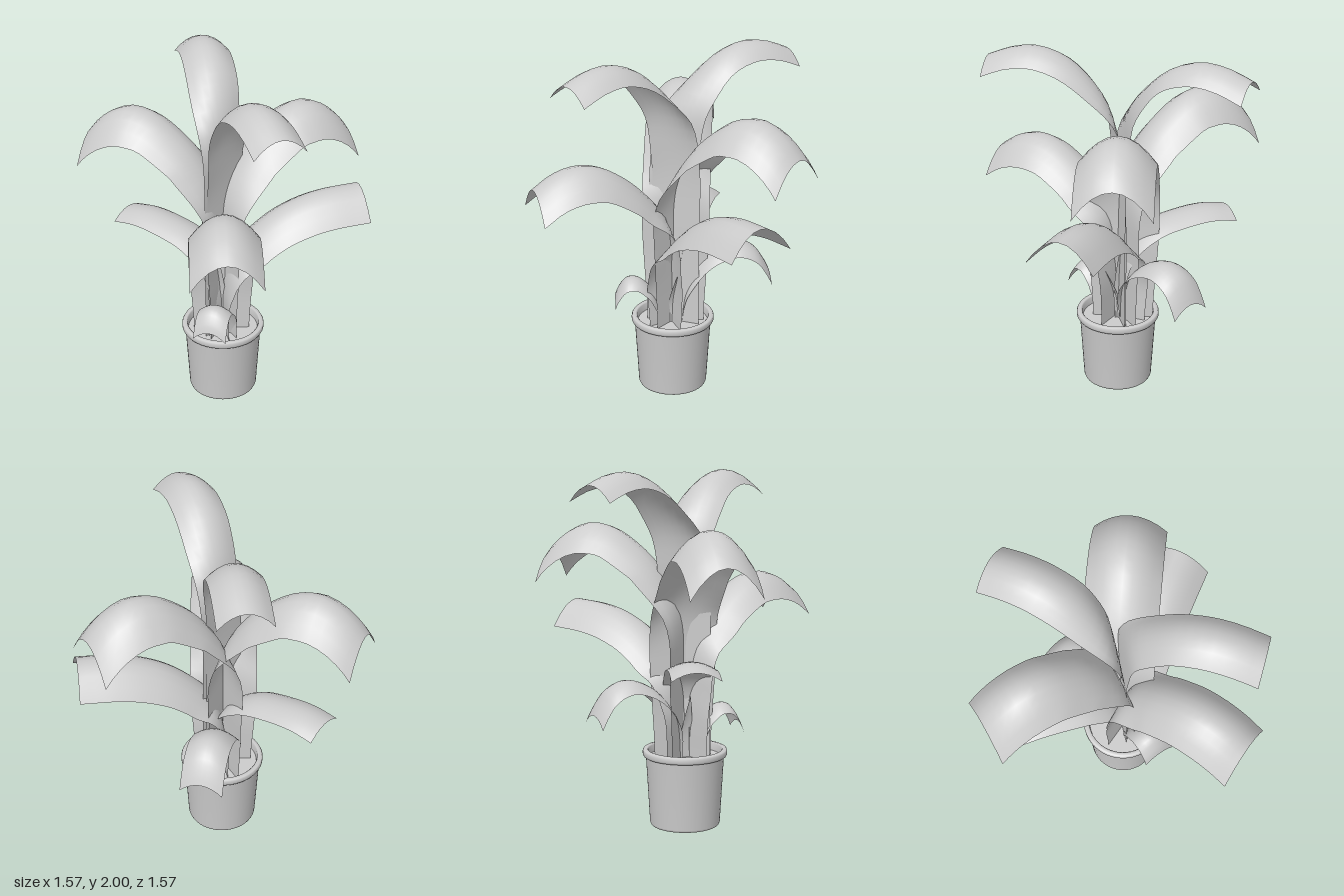
import * as THREE from 'three';

const CX = -0.03, CZ = -0.04; // pot axis
const material = new THREE.MeshStandardMaterial({ color: 0xcccccc, side: THREE.DoubleSide });

function add(group, name, geometry) {
  const mesh = new THREE.Mesh(geometry, material);
  mesh.name = name;
  group.add(mesh);
  return mesh;
}

// Strip swept along a spline path: flat where it stands upright, arched where it leans out.
// path: [distance outward, height]; base / dir: [x, z]; twist: degrees the stalk is turned
function leafGeometry({ base, dir, path, width, arch, foot = 0.85, twist = 0, pointed = false }) {
  const rows = 32, cols = 8;
  const curve = new THREE.CatmullRomCurve3(path.map(([r, y]) => new THREE.Vector3(r, y, 0)));
  const heading = Math.atan2(dir[1], dir[0]);
  const dx = Math.cos(heading), dz = Math.sin(heading);
  const pos = [], idx = [];
  for (let i = 0; i <= rows; i++) {
    const t = i / rows;
    const p = curve.getPointAt(t), tan = curve.getTangentAt(t);
    // the section leans with the rising blade and stays upright where it droops
    const rising = tan.y > 0;
    const nr = rising ? -tan.y : 0, ny = rising ? tan.x : 1;
    const bend = rising ? Math.max(0, tan.x) : 1;
    let k = foot + (1 - foot) * THREE.MathUtils.smoothstep(t, 0, 0.35);
    if (pointed) k *= 1 - t * t;
    const turn = heading + Math.PI / 2
      + THREE.MathUtils.degToRad(twist) * (1 - THREE.MathUtils.smoothstep(t, 0.5, 0.8));
    for (let j = 0; j <= cols; j++) {
      const s = (j / cols) * 2 - 1;
      const drop = arch * s * s * k * bend;
      const r = p.x - nr * drop, w = s * k * width / 2;
      pos.push(base[0] + dx * r + Math.cos(turn) * w, p.y - ny * drop, base[1] + dz * r + Math.sin(turn) * w);
      if (i < rows && j < cols) {
        const a = i * (cols + 1) + j, b = a + cols + 1;
        idx.push(a, a + 1, b, a + 1, b + 1, b);
      }
    }
  }
  const g = new THREE.BufferGeometry();
  g.setAttribute('position', new THREE.Float32BufferAttribute(pos, 3));
  g.setIndex(idx);
  g.computeVertexNormals();
  return g;
}

const tallPath = [[0, 0.36], [0, 0.9], [0, 1.4], [0.05, 1.68], [0.18, 1.855], [0.31, 1.955], [0.46, 2], [0.6, 1.985], [0.735, 1.935]];
const archPath = [[0, 0.36], [0, 0.8], [0.02, 1.25], [0.15, 1.48], [0.3, 1.62], [0.42, 1.69], [0.55, 1.71], [0.66, 1.67], [0.75, 1.6], [0.8, 1.54]];

const leaves = [
  { name: 'tallBackLeaf', base: [-0.035, -0.05], dir: [0.06, -1], path: tallPath, width: 0.285, arch: 0.085, foot: 1, twist: -40 },
  { name: 'tallFrontLeaf', base: [-0.016, -0.05], dir: [0.14, 0.99], path: tallPath, width: 0.285, arch: 0.085, foot: 1, twist: -28 },
  { name: 'archedRightLeaf', base: [-0.035, -0.07], dir: [0.952, -0.305], path: archPath, width: 0.41, arch: 0.16 },
  { name: 'archedLeftLeaf', base: [-0.03, -0.06], dir: [-0.8, -0.6], path: archPath, width: 0.385, arch: 0.16 },
  { name: 'frontLeaf', base: [-0.04, -0.03], dir: [-0.196, 0.98], width: 0.38, arch: 0.15,
    path: [[0, 0.36], [0, 0.75], [0.04, 1.05], [0.17, 1.22], [0.3, 1.33], [0.42, 1.395], [0.54, 1.415], [0.67, 1.385], [0.79, 1.31]] },
  { name: 'sideLeaf', base: [-0.03, -0.045], dir: [1, 0], width: 0.38, arch: 0.15,
    path: [[0, 0.36], [0, 0.7], [0.05, 0.88], [0.15, 1], [0.3, 1.12], [0.45, 1.19], [0.6, 1.225], [0.805, 1.24]] },
  { name: 'lowBackLeftLeaf', base: [-0.03, -0.04], dir: [-0.67, -0.74], width: 0.26, arch: 0.045, foot: 0.5,
    path: [[0, 0.36], [0, 0.65], [0.05, 0.84], [0.2, 0.96], [0.4, 1.01], [0.55, 1.02], [0.68, 1]] },
  { name: 'lowBackRightLeaf', base: [-0.03, -0.09], dir: [0.43, -0.9], width: 0.24, arch: 0.06, foot: 0.4,
    path: [[0, 0.36], [0.03, 0.6], [0.1, 0.74], [0.2, 0.83], [0.33, 0.87], [0.43, 0.83], [0.49, 0.75], [0.52, 0.69]] },
  { name: 'smallFrontLeaf', base: [-0.03, 0], dir: [-0.5, 0.85], width: 0.19, arch: 0.05, foot: 0.35,
    path: [[0, 0.36], [0.05, 0.52], [0.1, 0.62], [0.17, 0.68], [0.23, 0.68], [0.28, 0.62], [0.3, 0.57]] },
];

// young upright shoots: outward direction, reach, tip height
const shoots = [
  [[-0.6, 0.6], 0.12, 1.08], [[0.7, -0.7], 0.09, 0.98], [[0.95, 0.3], 0.11, 0.73], [[-0.8, -0.5], 0.09, 0.76],
];

export function createModel() {
  const model = new THREE.Group();
  model.name = 'pottedPlant';

  // Tapered pot with a rolled rim, open underneath
  const profile = [
    [0.18, 0.012], [0.185, 0], [0.195, 0.003], [0.2, 0.015], [0.222, 0.4], [0.235, 0.402], [0.24, 0.412],
    [0.24, 0.43], [0.235, 0.44], [0.215, 0.442], [0.208, 0.435], [0.204, 0.4], [0.18, 0.012],
  ].map(([x, y]) => new THREE.Vector2(x, y));
  add(model, 'pot', new THREE.LatheGeometry(profile, 48)).position.set(CX, 0, CZ);

  // Soil surface
  const soil = add(model, 'soil', new THREE.CircleGeometry(0.204, 48));
  soil.rotation.x = -Math.PI / 2;
  soil.position.set(CX, 0.395, CZ);

  // Large and small leaves
  for (const leaf of leaves) add(model, leaf.name, leafGeometry(leaf));

  // Young shoots
  for (const [dir, reach, top] of shoots) {
    const path = [[0.02, 0.36], [0.03, 0.36 + (top - 0.36) * 0.5], [reach, top]];
    add(model, 'youngShoot', leafGeometry({ base: [CX, CZ], dir, path, width: 0.08, arch: 0.02, foot: 0.6, pointed: true }));
  }
  return model;
}
